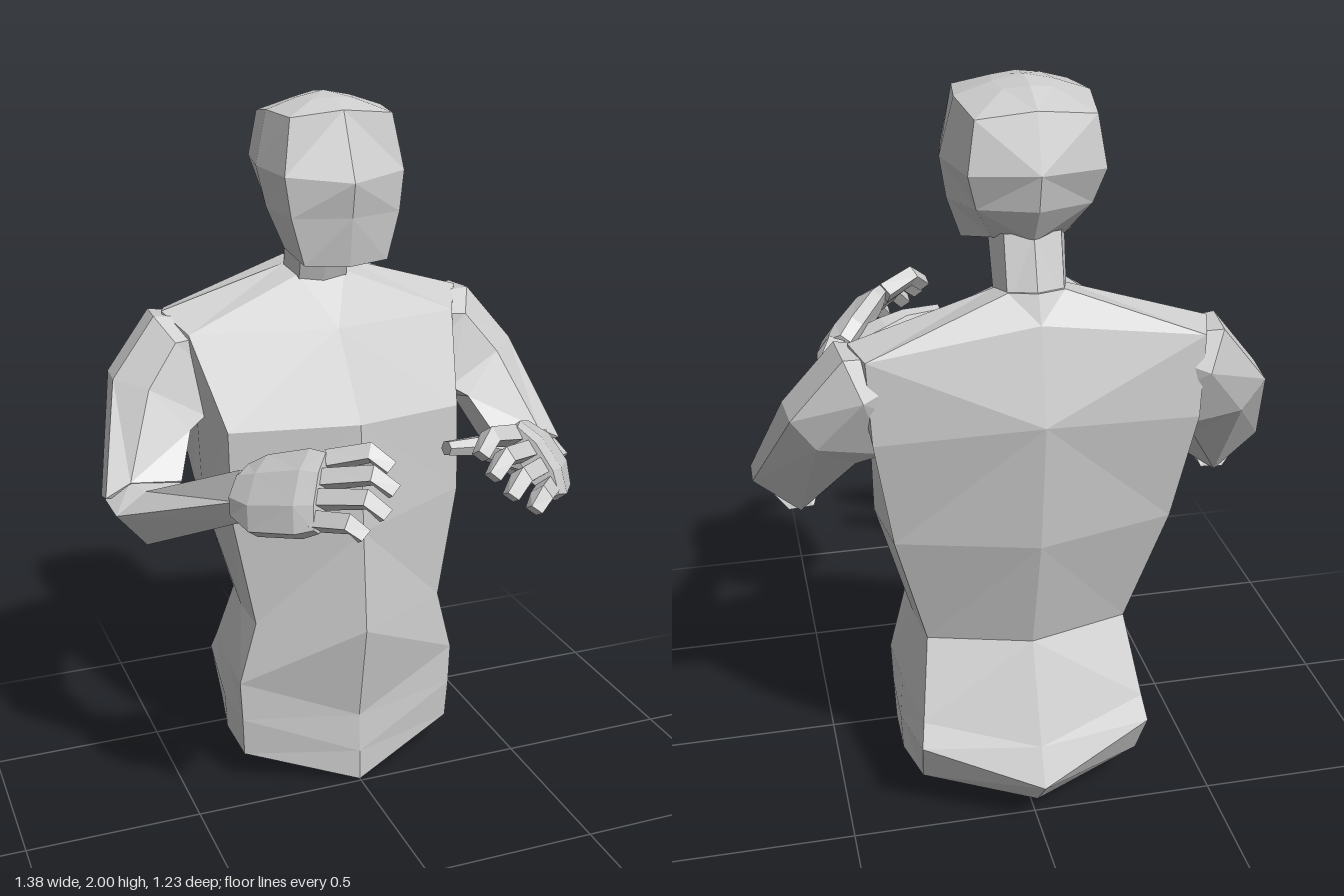
import * as THREE from 'three';

const V = (p) => new THREE.Vector3(p[0], p[1], p[2]);

// Faceted skin through matching rings of points, closed at both ends
function loft(name, rings, material) {
  const out = [];
  const tri = (...pts) => pts.forEach((p) => out.push(p.x, p.y, p.z));
  const n = rings[0].length;
  const middle = (r) => r.reduce((s, p) => s.add(p), new THREE.Vector3()).divideScalar(n);
  const first = rings[0], last = rings[rings.length - 1];
  const c0 = middle(first), c1 = middle(last);
  for (let i = 0; i < n; i++) {
    const j = (i + 1) % n;
    tri(c0, first[j], first[i]);
    tri(c1, last[i], last[j]);
    for (let k = 0; k + 1 < rings.length; k++) {
      const a = rings[k], b = rings[k + 1];
      // split along the shorter diagonal, so both halves match
      if (a[i].distanceTo(b[j]) < a[j].distanceTo(b[i])) {
        tri(a[i], a[j], b[j]);
        tri(a[i], b[j], b[i]);
      } else {
        tri(a[i], a[j], b[i]);
        tri(a[j], b[j], b[i]);
      }
    }
  }
  const g = new THREE.BufferGeometry();
  g.setAttribute('position', new THREE.Float32BufferAttribute(out, 3));
  g.computeVertexNormals();
  const mesh = new THREE.Mesh(g, material);
  mesh.name = name;
  return mesh;
}

// Half section (front centre round the left side to back centre) made whole
const whole = (half) => half.map(V).concat(half.slice(1, -1).reverse().map(([x, y, z]) => V([-x, y, z])));

// Rings across a path; each station is [x, y, z, half width along ref, half thickness]
function limbRings(stations, ref, sides, turn = 0) {
  const pts = stations.map(V);
  return stations.map(([, , , w, h], k) => {
    const t = pts[Math.min(k + 1, pts.length - 1)].clone().sub(pts[Math.max(k - 1, 0)]).normalize();
    const u = V(ref).addScaledVector(t, -V(ref).dot(t)).normalize();
    const v = t.clone().cross(u);
    return Array.from({ length: sides }, (_, i) => {
      const a = ((i + turn) / sides) * Math.PI * 2;
      return pts[k].clone().addScaledVector(u, w * Math.cos(a)).addScaledVector(v, h * Math.sin(a));
    });
  });
}

export function createModel() {
  const model = new THREE.Group();
  model.name = 'upperBody';
  const grey = new THREE.MeshStandardMaterial({ color: 0xcccccc });
  grey.name = 'grey';

  // Torso from hips to neck base
  model.add(loft('torso', [
    [[0, .005, -.01], [.325, .1, -.12], [.33, .11, -.28], [.3, .13, -.44], [0, .07, -.53]],
    [[0, .1, -.01], [.33, .22, -.11], [.335, .22, -.28], [.31, .27, -.51], [0, .17, -.615]],
    [[0, .22, -.015], [.335, .34, -.11], [.325, .34, -.27], [.3, .33, -.475], [0, .27, -.565]],
    [[0, .52, .045], [.285, .53, -.1], [.287, .53, -.24], [.27, .53, -.375], [0, .53, -.45]],
    [[0, .82, .02], [.345, .86, -.11], [.385, .87, -.26], [.36, .87, -.45], [0, .86, -.53]],
    [[0, 1.13, 0], [.345, 1.11, -.12], [.39, 1.11, -.27], [.41, 1.17, -.495], [0, 1.21, -.565]],
    [[0, 1.36, -.17], [.4, 1.35, -.29], [.45, 1.4, -.39], [.42, 1.385, -.485], [0, 1.45, -.5]],
    [[0, 1.48, -.3], [.07, 1.49, -.31], [.09, 1.51, -.38], [.07, 1.52, -.45], [0, 1.52, -.47]],
  ].map(whole), grey));

  // Neck leaning forward into the skull
  model.add(loft('neck', [
    [[0, 1.44, -.3], [.07, 1.45, -.31], [.09, 1.46, -.39], [.07, 1.48, -.45], [0, 1.49, -.47]],
    [[0, 1.62, -.24], [.075, 1.62, -.25], [.095, 1.64, -.33], [.07, 1.65, -.4], [0, 1.65, -.415]],
  ].map(whole), grey));

  // Head from jaw to crown
  model.add(loft('head', [
    [[0, 1.555, -.08], [.12, 1.56, -.11], [.14, 1.59, -.22], [.09, 1.63, -.36], [0, 1.63, -.415]],
    [[0, 1.69, -.06], [.155, 1.69, -.11], [.18, 1.7, -.25], [.14, 1.72, -.42], [0, 1.72, -.47]],
    [[0, 1.785, -.04], [.17, 1.8, -.115], [.2, 1.81, -.27], [.165, 1.81, -.45], [0, 1.81, -.487]],
    [[0, 1.965, -.125], [.145, 1.95, -.14], [.165, 1.955, -.28], [.145, 1.935, -.43], [0, 1.95, -.44]],
    [[0, 1.99, -.2], [.06, 1.985, -.21], [.075, 1.985, -.28], [.06, 1.98, -.34], [0, 1.99, -.36]],
    [[0, 2, -.28], [0, 2, -.28], [0, 2, -.28], [0, 2, -.28], [0, 2, -.28]],
  ].map(whole), grey));

  // Upper arm: outer front, front, inner front, inner back, back, outer back
  const upperArm = [
    [[.26, 1.37, -.37], [.28, 1.34, -.32], [.3, 1.2, -.29], [.3, 1.2, -.44], [.28, 1.34, -.45], [.26, 1.37, -.43]],
    [[.48, 1.395, -.36], [.44, 1.335, -.28], [.375, 1.13, -.235], [.375, 1.12, -.44], [.43, 1.29, -.508], [.47, 1.39, -.47]],
    [[.61, 1.235, -.33], [.53, 1.22, -.245], [.425, 1.1, -.215], [.44, 1.06, -.36], [.54, 1.15, -.445], [.6, 1.23, -.44]],
    [[.69, .965, -.13], [.62, 1, -.13], [.48, .99, -.12], [.5, .9, -.18], [.57, .855, -.2], [.69, .95, -.19]],
  ];
  // Forearm: outer, top, inner, lower inner, bottom
  const forearm = [
    [[.688, .955, -.15], [.62, 1, -.14], [.48, .985, -.12], [.535, .86, -.19], [.6, .85, -.18]],
    [[.68, .94, -.055], [.59, .99, -.08], [.485, .98, -.09], [.53, .865, -.08], [.6, .845, -.055]],
    [[.45, 1.08, .3], [.43, 1.15, .265], [.39, 1.14, .245], [.385, 1.05, .265], [.425, 1.02, .29]],
  ];

  // Arm parts for the left side, as name and rings
  const across = [.45, -.8, .4];
  const parts = [
    ['upperArm', upperArm.map((r) => r.map(V))],
    ['forearm', forearm.map((r) => r.map(V))],
    ['palm', limbRings([
      [.42, 1.09, .265, .075, .045], [.39, 1.1, .33, .11, .05],
      [.315, 1.135, .44, .12, .045], [.285, 1.145, .475, .108, .034]], across, 8, .5)],
    ['thumb', limbRings([
      [.38, 1.08, .3, .06, .045], [.26, 1.13, .31, .05, .042],
      [.2, 1.155, .332, .033, .028], [.1, 1.165, .345, .024, .02]], [0, .3, 1], 6)],
  ];

  // Four fingers, each with knuckle, bend and tip
  const fingers = {
    indexFinger: [[.25, 1.205, .42], [.16, 1.232, .475], [.12, 1.195, .505]],
    middleFinger: [[.275, 1.17, .45], [.175, 1.195, .53], [.13, 1.155, .555]],
    ringFinger: [[.3, 1.13, .475], [.205, 1.15, .565], [.165, 1.11, .587]],
    littleFinger: [[.32, 1.085, .495], [.255, 1.1, .58], [.225, 1.07, .598]],
  };
  for (const [name, [k, m, t]] of Object.entries(fingers)) {
    parts.push([name, limbRings(
      [[...k, .03, .032], [...m, .029, .029], [...t, .024, .024]], across, 4, .5)]);
  }

  // Both arms, the right one mirrored with its point order reversed
  for (const side of ['left', 'right']) {
    const arm = new THREE.Group();
    arm.name = side + 'Arm';
    for (const [name, rings] of parts) {
      const placed = side === 'left' ? rings
        : rings.map((r) => r.map((p) => V([-p.x, p.y, p.z])).reverse());
      arm.add(loft(name, placed, grey));
    }
    model.add(arm);
  }
  return model;
}
